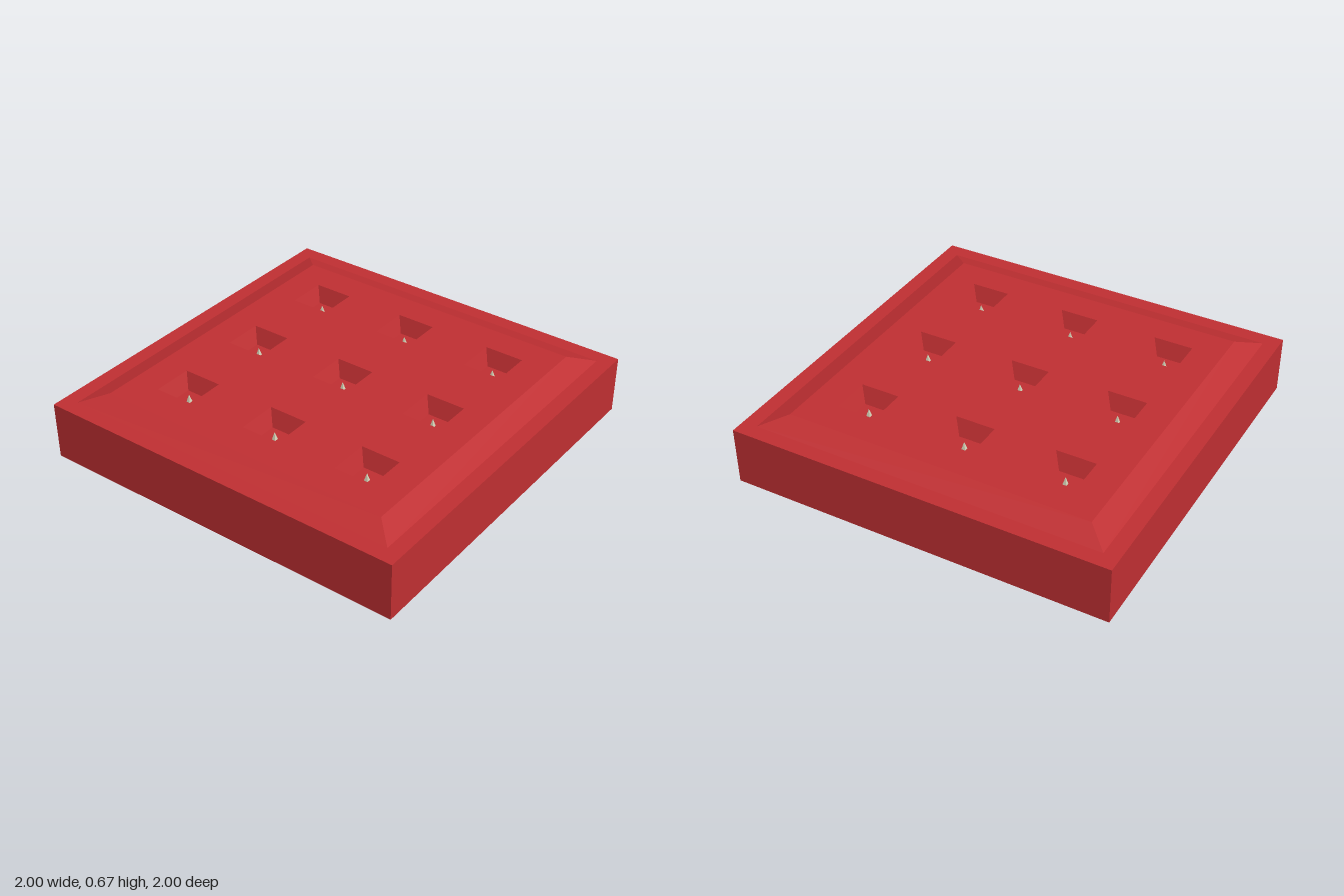
import * as THREE from 'three';

const red = new THREE.MeshStandardMaterial({ color: 0xc02f32, side: THREE.DoubleSide });
red.name = 'red';
const bone = new THREE.MeshStandardMaterial({ color: 0xd2cfb4 });
bone.name = 'bone';

// Four-sided band or pyramid, given half widths and heights at bottom and top
function squareBand(bottomHalf, bottomY, topHalf, topY, open = true) {
  const geometry = new THREE.CylinderGeometry(
    topHalf * Math.SQRT2, bottomHalf * Math.SQRT2, topY - bottomY, 4, 1, open)
    .rotateY(Math.PI / 4)
    .translate(0, (topY + bottomY) / 2, 0)
    .toNonIndexed();
  geometry.computeVertexNormals();
  return geometry;
}

function add(parent, name, geometry, material, x = 0, z = 0) {
  const mesh = new THREE.Mesh(geometry, material);
  mesh.name = name;
  mesh.position.set(x, 0, z);
  parent.add(mesh);
}

export function createModel() {
  const model = new THREE.Group();
  model.name = 'spikeTrap';
  const baseY = 0.32, rimY = 0.625, topY = 0.665, floorY = 0.58;
  const topHalf = 0.805, pitHalf = 0.105, floorHalf = 0.07, spacing = 0.538;

  // Hollow cover, open underneath
  add(model, 'coverWalls', squareBand(1, baseY, 1, rimY), red);
  add(model, 'coverRim', squareBand(1, rimY, 0.92, rimY), red);
  add(model, 'coverBevel', squareBand(0.92, rimY, topHalf, topY), red);

  // Top plate with a square opening for each pit
  const plate = new THREE.Shape([
    new THREE.Vector2(-topHalf, -topHalf), new THREE.Vector2(topHalf, -topHalf),
    new THREE.Vector2(topHalf, topHalf), new THREE.Vector2(-topHalf, topHalf)]);

  const pitWalls = squareBand(floorHalf, floorY, pitHalf, topY);
  const pitFloor = new THREE.PlaneGeometry(2 * floorHalf, 2 * floorHalf)
    .rotateX(-Math.PI / 2).translate(0, floorY, 0);
  const spike = squareBand(0.16, 0, 0, 0.62, false);

  for (const i of [-1, 0, 1]) {
    for (const j of [-1, 0, 1]) {
      const x = i * spacing, z = j * spacing;
      plate.holes.push(new THREE.Path([
        new THREE.Vector2(x - pitHalf, z - pitHalf), new THREE.Vector2(x - pitHalf, z + pitHalf),
        new THREE.Vector2(x + pitHalf, z + pitHalf), new THREE.Vector2(x + pitHalf, z - pitHalf)]));
      add(model, 'pitWalls', pitWalls, red, x, z);
      add(model, 'pitFloor', pitFloor, red, x, z);
      // Spike whose tip just pierces the pit floor
      add(model, 'spike', spike, bone, x, z);
    }
  }
  add(model, 'topPlate',
    new THREE.ShapeGeometry(plate).rotateX(-Math.PI / 2).translate(0, topY, 0), red);
  return model;
}
